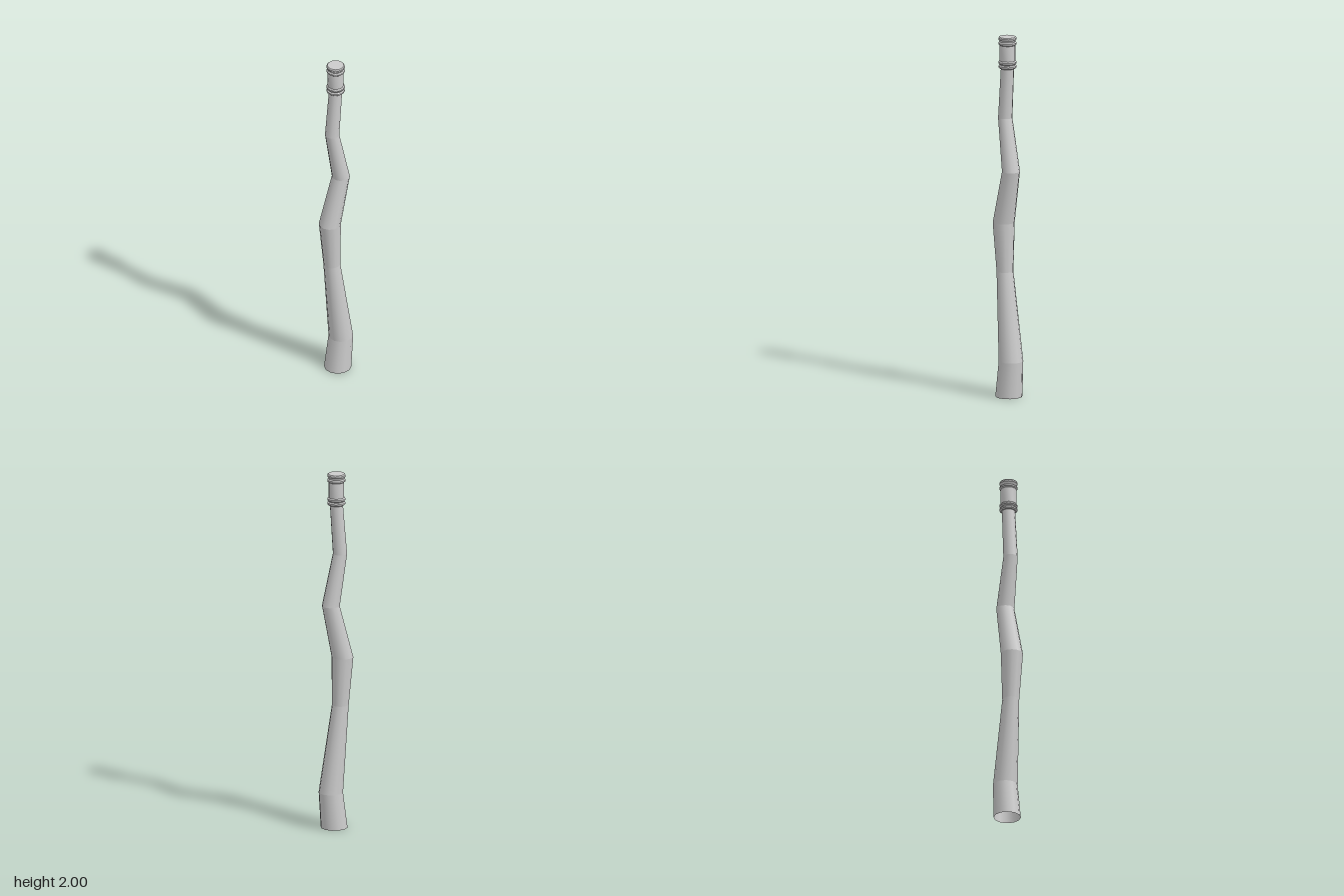
import * as THREE from 'three';
import { toCreasedNormals } from 'three/addons/utils/BufferGeometryUtils.js';

const SIDES = 12;

// Horizontal cross-sections of the crooked shaft: [height, centre x, radius]
const SECTIONS = [
  [0, 0.011, 0.074],
  [0.2, 0.03, 0.067],
  [0.69, -0.025, 0.046],
  [0.96, -0.037, 0.06],
  [1.255, 0.03, 0.049],
  [1.545, -0.023, 0.039],
  [1.83, -0.002, 0.036],
];

// Tapered tube sheared sideways so that both ends stay level
function shaftSegment([y0, x0, r0], [y1, x1, r1]) {
  const h = y1 - y0;
  const geometry = new THREE.CylinderGeometry(r1, r0, h, SIDES, 1, true);
  const shear = new THREE.Matrix4().set(
    1, (x1 - x0) / h, 0, (x0 + x1) / 2,
    0, 1, 0, (y0 + y1) / 2,
    0, 0, 1, 0,
    0, 0, 0, 1,
  );
  return geometry.applyMatrix4(shear);
}

// Raised band on the collar, as profile points
function band(y, inner, outer) {
  return [[inner, y - 0.01], [outer, y - 0.004], [outer, y + 0.004], [inner, y + 0.01]];
}

export function createModel() {
  const model = new THREE.Group();
  model.name = 'crookedStaff';
  const material = new THREE.MeshStandardMaterial({ color: 0xcccccc, side: THREE.DoubleSide });

  // Crooked shaft, open at the foot
  const shaft = new THREE.Group();
  shaft.name = 'shaft';
  for (let i = 0; i < SECTIONS.length - 1; i++) {
    const segment = new THREE.Mesh(shaftSegment(SECTIONS[i], SECTIONS[i + 1]), material);
    segment.name = `shaftSegment${i + 1}`;
    shaft.add(segment);
  }
  model.add(shaft);

  // Collar with two pairs of raised bands and a flat top
  const profile = [
    [0, 1.824],
    ...band(1.834, 0.043, 0.05),
    ...band(1.857, 0.043, 0.05),
    ...band(1.963, 0.043, 0.05),
    ...band(1.99, 0.045, 0.05),
    [0, 2],
  ].map(([r, y]) => new THREE.Vector2(r, y));
  const collar = new THREE.Mesh(
    toCreasedNormals(new THREE.LatheGeometry(profile, SIDES), 0.6),
    material,
  );
  collar.name = 'collar';
  collar.position.x = -0.002;
  model.add(collar);

  return model;
}
